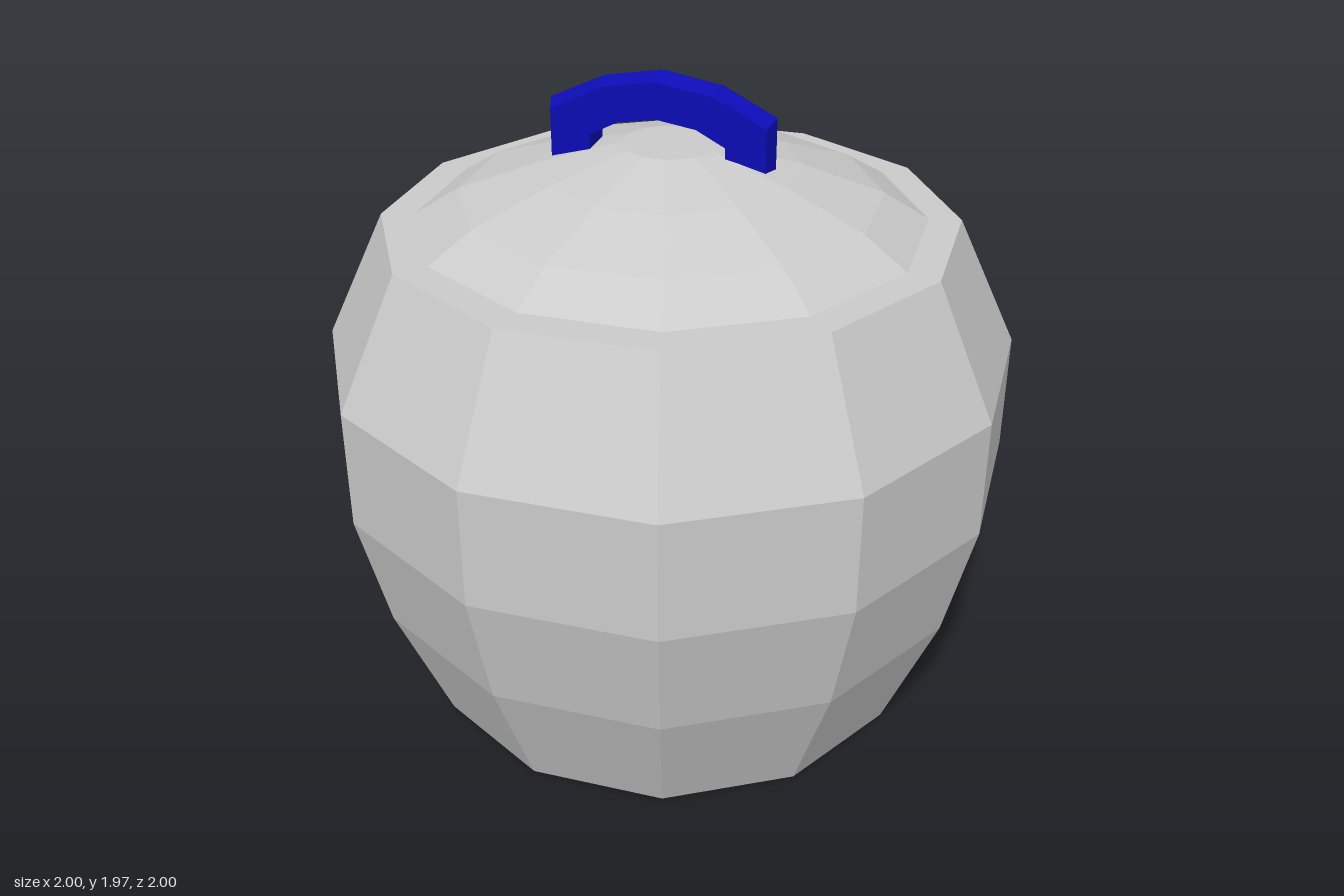
import * as THREE from 'three';

const SIDES = 12;
const grey = new THREE.MeshStandardMaterial({ color: 0xcccccc, flatShading: true });
const blue = new THREE.MeshStandardMaterial({ color: 0x0c0cb4, flatShading: true });

// Twelve-sided turned form; profile widths are measured to the flat faces
function turned(name, profile) {
  const k = 1 / Math.cos(Math.PI / SIDES);
  const points = profile.map(([r, y]) => new THREE.Vector2(r * k, y));
  const mesh = new THREE.Mesh(new THREE.LatheGeometry(points, SIDES, Math.PI / SIDES), grey);
  mesh.name = name;
  return mesh;
}

// Arched bar: five-sided cross-sections with a ridge along the outside
function handleGeometry() {
  // [ridge x, ridge y, shoulder x, shoulder y, inner x, inner y] from foot to crown
  const half = [
    [-0.335, 1.69, -0.318, 1.69, -0.2, 1.69],
    [-0.335, 1.858, -0.318, 1.84, -0.2, 1.775],
    [-0.17, 1.937, -0.165, 1.918, -0.115, 1.82],
    [0, 1.967, 0, 1.947, 0, 1.838],
  ];
  const mirrored = half.slice(0, -1).reverse().map((s) => s.map((v, i) => (i % 2 ? v : -v)));
  const stations = [...half, ...mirrored];
  const w = 0.056;
  const positions = [];
  for (const [rx, ry, sx, sy, ix, iy] of stations) {
    positions.push(rx, ry, 0, sx, sy, w, ix, iy, w, ix, iy, -w, sx, sy, -w);
  }
  const n = 5;
  const index = [];
  for (let i = 0; i < stations.length - 1; i++) {
    for (let j = 0; j < n; j++) {
      const a = i * n + j;
      const b = i * n + ((j + 1) % n);
      index.push(a, b, b + n, a, b + n, a + n);
    }
  }
  // Feet
  const end = (stations.length - 1) * n;
  for (let j = 1; j < n - 1; j++) {
    index.push(0, j + 1, j, end, end + j, end + j + 1);
  }
  const geometry = new THREE.BufferGeometry();
  geometry.setAttribute('position', new THREE.Float32BufferAttribute(positions, 3));
  geometry.setIndex(index);
  geometry.computeVertexNormals();
  return geometry;
}

export function createModel() {
  const model = new THREE.Group();
  model.name = 'lidded jar';

  // Barrel-shaped body with a flat rim
  model.add(turned('body', [
    [0, 0], [0.755, 0], [0.915, 0.41], [1, 0.78], [1, 1.14], [0.822, 1.527], [0, 1.527],
  ]));

  // Shallow domed lid
  const lid = turned('lid', [
    [0.728, 1.527], [0.6, 1.608], [0.375, 1.69], [0.14, 1.755], [0, 1.755],
  ]);
  lid.position.z = -0.005;
  model.add(lid);

  // Handle, slightly off centre
  const handle = new THREE.Mesh(handleGeometry(), blue);
  handle.name = 'handle';
  handle.position.set(-0.024, 0, -0.003);
  model.add(handle);

  return model;
}
